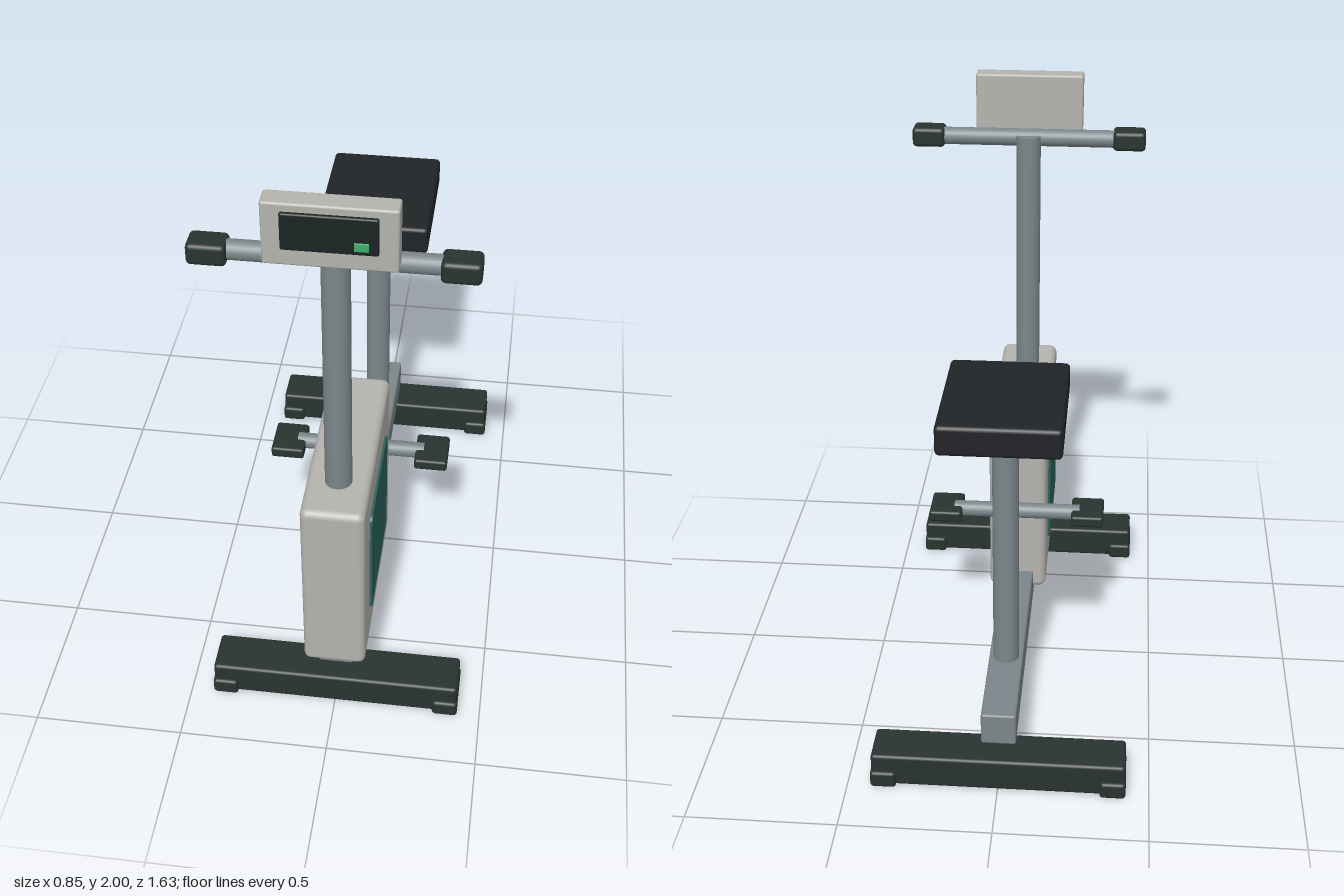
import * as THREE from 'three';
import { RoundedBoxGeometry } from 'three/addons/geometries/RoundedBoxGeometry.js';

const mat = (color) => new THREE.MeshStandardMaterial({ color });

export function createModel() {
  const model = new THREE.Group();
  const steel = mat(0x7b868a), shell = mat(0xb4b3ae), rubber = mat(0x28332f);
  const teal = mat(0x2c6158), black = mat(0x212427), glass = mat(0x1a2423), lime = mat(0x3fae6a);

  function add(name, geometry, material, x, y, z) {
    const mesh = new THREE.Mesh(geometry, material);
    mesh.name = name;
    mesh.position.set(x, y, z);
    model.add(mesh);
    return mesh;
  }
  // Rounded box given by its size, centre and edge radius
  const box = (name, material, [w, h, d], [x, y, z], r = 0.01) =>
    add(name, new RoundedBoxGeometry(w, h, d, 3, r), material, x, y, z);
  // Upright tube between two heights
  const post = (name, r, y0, y1, z) =>
    add(name, new THREE.CylinderGeometry(r, r, y1 - y0, 24), steel, 0, (y0 + y1) / 2, z);
  // Crosswise tube centred on x = 0
  const crossBar = (name, r, length, y, z) => {
    const bar = add(name, new THREE.CylinderGeometry(r, r, length, 24), steel, 0, y, z);
    bar.rotation.z = Math.PI / 2;
  };

  // Base beam
  box('baseBeam', steel, [0.116, 0.116, 1.51], [0, 0.213, 0.003], 0.008);

  // Front and rear stabilisers with end caps
  for (const [name, z] of [['front', 0.728], ['rear', -0.728]]) {
    box(name + 'Stabiliser', rubber, [0.84, 0.116, 0.148], [0, 0.063, z], 0.012);
    for (const side of [-1, 1])
      box(name + 'StabiliserCap', rubber, [0.086, 0.06, 0.174], [side * 0.38, 0.03, z], 0.012);
  }

  // Flywheel housing with a rounded inset panel on each side
  box('flywheelHousing', shell, [0.208, 0.692, 0.694], [0, 0.548, 0.453], 0.025);
  const h = 0.212, r = 0.025;
  const outline = new THREE.Shape();
  outline.absarc(h - r, h - r, r, 0, Math.PI / 2);
  outline.absarc(-h + r, h - r, r, Math.PI / 2, Math.PI);
  outline.absarc(-h + r, -h + r, r, Math.PI, Math.PI * 1.5);
  outline.absarc(h - r, -h + r, r, Math.PI * 1.5, Math.PI * 2);
  const panel = new THREE.ExtrudeGeometry(outline, { depth: 0.02, bevelEnabled: false, curveSegments: 5 });
  for (const side of [-1, 1]) {
    const mesh = add('sidePanel', panel, teal, side * 0.092, 0.548, 0.455);
    mesh.rotation.y = side * Math.PI / 2;
  }

  // Crank and pedals
  crossBar('crankAxle', 0.028, 0.456, 0.55, 0.085);
  for (const side of [-1, 1])
    box('pedal', rubber, [0.117, 0.042, 0.148], [side * 0.257, 0.548, 0.09], 0.01);

  // Seat
  post('seatPost', 0.044, 0.25, 1.21, -0.422);
  box('seat', black, [0.39, 0.102, 0.482], [0, 1.248, -0.454], 0.015);

  // Mast, handlebar and grips
  post('mast', 0.044, 0.85, 1.79, 0.637);
  crossBar('handlebar', 0.031, 0.7, 1.777, 0.66);
  for (const side of [-1, 1])
    box('grip', rubber, [0.117, 0.07, 0.088], [side * 0.363, 1.777, 0.664], 0.015);

  // Console with display
  box('console', shell, [0.386, 0.204, 0.07], [0, 1.898, 0.711], 0.008);
  box('display', glass, [0.276, 0.12, 0.024], [0, 1.914, 0.745], 0.006);
  box('displayLight', lime, [0.042, 0.028, 0.006], [0.09, 1.882, 0.757], 0.002);

  return model;
}
